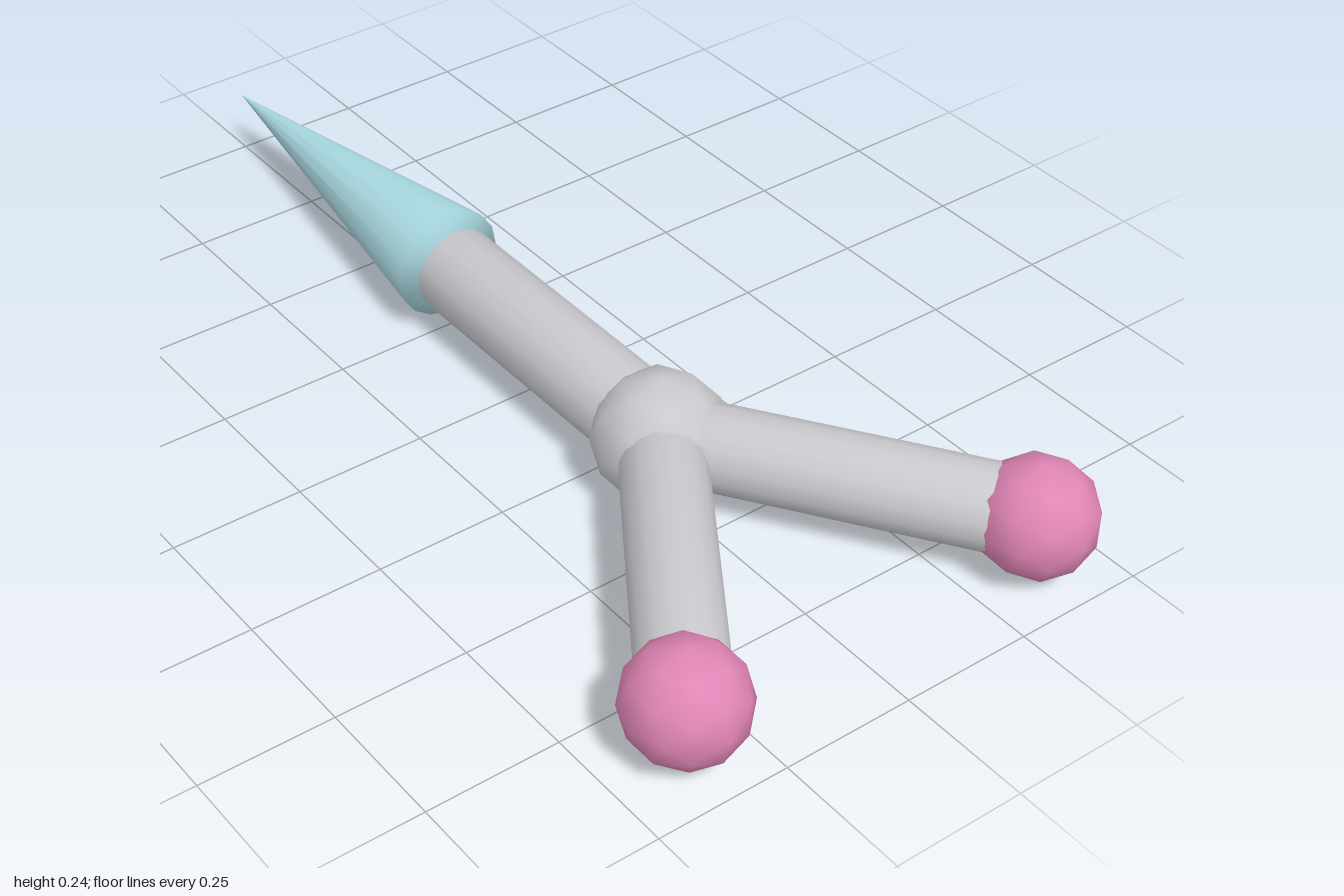
import * as THREE from 'three';

const Y = 0.122;       // height of the common centre line
const JOINT_Z = 0.363; // where the three rods meet

const paint = (name, color) => {
  const m = new THREE.MeshStandardMaterial({ color });
  m.name = name;
  return m;
};

export function createModel() {
  const group = new THREE.Group();
  const grey = paint('lightGrey', 0xcac9ce);
  const pink = paint('pink', 0xe186b6);
  const blue = paint('paleBlue', 0xa9d9e1);

  const add = (name, geometry, material) => {
    const mesh = new THREE.Mesh(geometry, material);
    mesh.name = name;
    group.add(mesh);
    return mesh;
  };

  // Faceted outline, smoothly shaded
  const ball = (name, radius, material, x, z) =>
    add(name, new THREE.IcosahedronGeometry(radius, 1), material).position.set(x, Y, z);

  // Turned solid from start to end; softRim profiles share normals with their caps
  const turned = (name, start, end, radius, pointed, material) => {
    const axis = end.clone().sub(start);
    const h = axis.length();
    const profile = [[0, 0], [radius, 0]];
    if (!pointed) profile.push([radius, h]);
    profile.push([0, h]);
    const geometry = new THREE.LatheGeometry(profile.map(([r, y]) => new THREE.Vector2(r, y)), 16);
    const mesh = add(name, geometry, material);
    mesh.position.copy(start);
    mesh.quaternion.setFromUnitVectors(new THREE.Vector3(0, 1, 0), axis.normalize());
  };
  const at = (x, z) => new THREE.Vector3(x, Y, z);

  // Central joint
  ball('joint', 0.122, grey, 0, JOINT_Z);

  // Forked arms with end balls
  for (const [side, s] of [['left', 1], ['right', -1]]) {
    turned(side + 'Arm', at(0, JOINT_Z), at(s * 0.367, 0.892), 0.077, false, grey);
    ball(side + 'Ball', 0.108, pink, s * 0.367, 0.892);
  }

  // Rear shaft and separate pointed tip
  turned('shaft', at(0, JOINT_Z), at(0, -0.245), 0.083, false, grey);
  turned('tipCone', at(0, -0.27), at(0, -1), 0.108, true, blue);

  return group;
}
